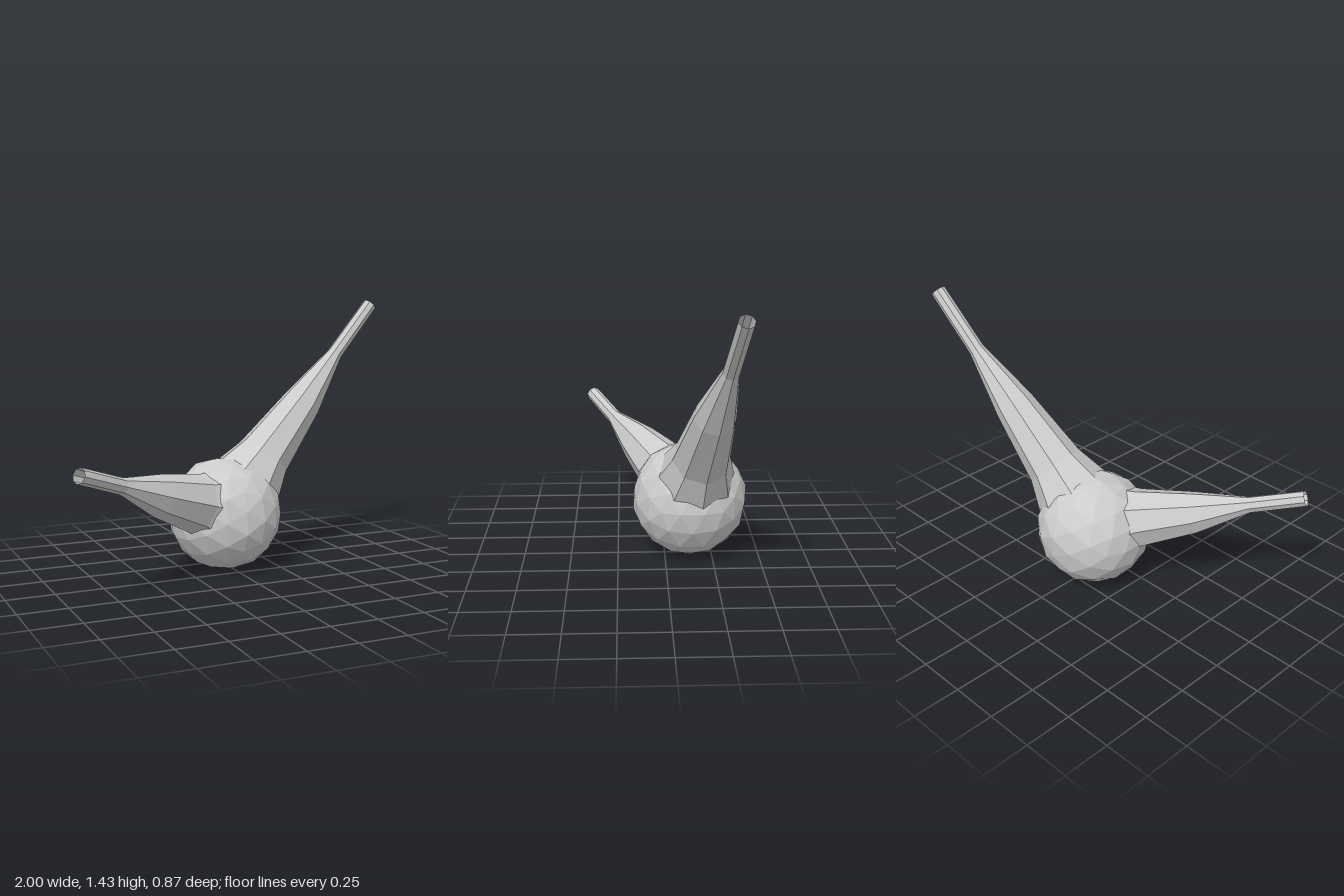
import * as THREE from 'three';

const SIDES = 8;
const CENTER = new THREE.Vector3(-0.025, 0.305, -0.135);
const material = new THREE.MeshStandardMaterial({ color: 0xcccccc, flatShading: true, side: THREE.DoubleSide });

// Open tapered branch swept through rings given as [x, y, z, radius]
function branch(name, rings) {
  const centers = rings.map(([x, y, z]) => new THREE.Vector3(x, y, z));
  const positions = [], index = [];
  rings.forEach((ring, i) => {
    const before = centers[Math.max(i - 1, 0)];
    const after = centers[Math.min(i + 1, rings.length - 1)];
    const tangent = after.clone().sub(before).normalize();
    const side = new THREE.Vector3(0, 1, 0).cross(tangent).normalize();
    const up = tangent.clone().cross(side);
    for (let j = 0; j < SIDES; j++) {
      const a = (j / SIDES) * Math.PI * 2;
      const p = centers[i].clone()
        .addScaledVector(side, Math.cos(a) * ring[3])
        .addScaledVector(up, Math.sin(a) * ring[3]);
      positions.push(p.x, p.y, p.z);
      if (i > 0) {
        const k = (j + 1) % SIDES, lo = (i - 1) * SIDES, hi = i * SIDES;
        index.push(lo + j, lo + k, hi + k, lo + j, hi + k, hi + j);
      }
    }
  });
  const geometry = new THREE.BufferGeometry();
  geometry.setAttribute('position', new THREE.Float32BufferAttribute(positions, 3));
  geometry.setIndex(index);
  geometry.computeVertexNormals();
  const mesh = new THREE.Mesh(geometry, material);
  mesh.name = name;
  return mesh;
}

// Faceted, slightly uneven round body
function cellBody() {
  const geometry = new THREE.IcosahedronGeometry(0.305, 2);
  const p = geometry.attributes.position, v = new THREE.Vector3();
  for (let i = 0; i < p.count; i++) {
    v.fromBufferAttribute(p, i);
    v.multiplyScalar(1 + 0.015 * Math.sin(v.x * 23 + 1) * Math.cos(v.y * 19 + v.z * 27));
    p.setXYZ(i, v.x, v.y, v.z);
  }
  geometry.computeVertexNormals();
  const mesh = new THREE.Mesh(geometry, material);
  mesh.name = 'cellBody';
  mesh.position.copy(CENTER);
  return mesh;
}

export function createModel() {
  const group = new THREE.Group();
  group.name = 'branchingCell';
  group.add(cellBody());

  // Long branch rising to the left
  group.add(branch('longBranch', [
    [0.0, 0.335, -0.14, 0.26],
    [0.225, 0.59, -0.18, 0.152],
    [0.485, 0.87, -0.225, 0.108],
    [0.72, 1.135, -0.275, 0.042],
    [0.968, 1.408, -0.315, 0.04],
  ]));

  // Short branch reaching forward to the right
  group.add(branch('shortBranch', [
    [-0.07, 0.335, -0.105, 0.225],
    [-0.25, 0.4, -0.005, 0.155],
    [-0.5, 0.485, 0.13, 0.11],
    [-0.735, 0.575, 0.27, 0.042],
    [-0.98, 0.665, 0.4, 0.04],
  ]));
  return group;
}
